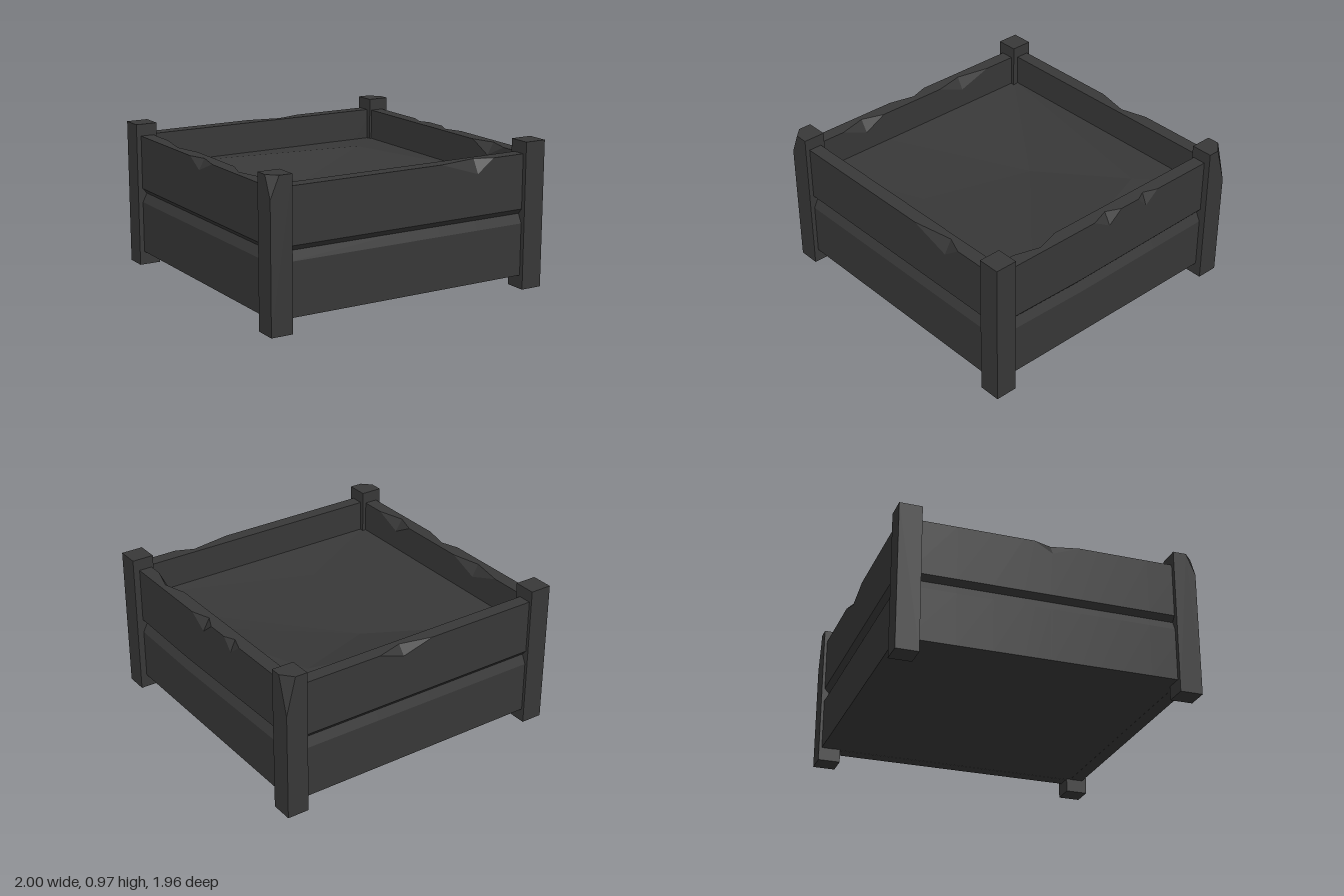
import * as THREE from 'three';
import { ConvexGeometry } from 'three/addons/geometries/ConvexGeometry.js';

const TOP = 0.89, BOTTOM = 0.09, THICK = 0.09;

// Flat-shaded geometry from a list of corner triples, skipping empty triangles
function facets(tris) {
  const pos = [];
  for (const [a, b, c] of tris) {
    const area = b.clone().sub(a).cross(c.clone().sub(a)).length();
    if (area > 1e-7) for (const p of [a, b, c]) pos.push(p.x, p.y, p.z);
  }
  const geo = new THREE.BufferGeometry();
  geo.setAttribute('position', new THREE.Float32BufferAttribute(pos, 3));
  geo.computeVertexNormals();
  return geo;
}

// Grooved wall along x with its outer face on z = 0.
// Each chip is [start, middle, end, drop, inset] on the outer or inner top edge.
function wallGeometry({ outer = [], inner = [], sag = 0, sagAt = 0 }) {
  const chips = [...outer, ...inner];
  const stations = [...new Set([-0.9, 0.9, sagAt, ...chips.flatMap(c => c.slice(0, 3))])].sort((a, b) => a - b);
  const chipAt = (list, u) => list.find(c => c[1] === u) ?? [0, 0, 0, 0, 0];
  // Stations inside a chip but not at its middle follow its straight edges
  const cut = (list, u) => {
    const c = list.find(k => u > k[0] && u < k[2]);
    if (!c) return [0, 0];
    const f = u <= c[1] ? (u - c[0]) / (c[1] - c[0]) : (c[2] - u) / (c[2] - c[1]);
    const full = chipAt(list, c[1]);
    return [full[3] * f, full[4] * f];
  };
  const rings = stations.map(u => {
    const [od, oi] = cut(outer, u), [id, ii] = cut(inner, u);
    const s = sag * (1 - Math.abs(u - sagAt) / (0.9 + Math.abs(sagAt)));
    return [
      [0, BOTTOM], [0, 0.435 - s], [-0.03, 0.495 - s], [0, 0.53 - s],
      [0, TOP - od], [-oi, TOP], [ii - THICK, TOP], [-THICK, TOP - id], [-THICK, BOTTOM],
    ].map(([z, y]) => new THREE.Vector3(u, y, z));
  });
  const tris = [];
  for (let i = 0; i + 1 < rings.length; i++) {
    const r = rings[i], q = rings[i + 1];
    for (let k = 0; k < r.length; k++) {
      const n = (k + 1) % r.length;
      tris.push([r[k], q[k], q[n]], [r[k], q[n], r[n]]);
    }
  }
  return facets(tris);
}

// Square post with its outer top corner optionally broken off
function postGeometry(sx, sz, chip) {
  const x0 = 0.853 * sx, x1 = sx, z0 = 0.832 * sz, z1 = 0.98 * sz, h = 0.97;
  const pts = [];
  for (const x of [x0, x1]) for (const z of [z0, z1]) for (const y of [0, h]) {
    if (chip && x === x1 && z === z1 && y === h) {
      pts.push(new THREE.Vector3(x - chip.x * sx, y, z), new THREE.Vector3(x, y, z - chip.z * sz),
        new THREE.Vector3(x, y - chip.y, z));
    } else pts.push(new THREE.Vector3(x, y, z));
  }
  return new ConvexGeometry(pts);
}

// Uneven filling inside the walls
function fillGeometry() {
  const p = [
    [-0.89, 0.68, -0.87], [0.88, 0.68, -0.87], [0.88, 0.68, 0.87], [-0.89, 0.68, 0.87], // corners
    [-0.05, 0.59, -0.25], [0.58, 0.70, -0.57], [0.88, 0.68, 0.3], [-0.89, 0.68, 0.3],
    [-0.22, 0.64, 0.53], [0.8, 0.66, 0.52],
  ].map(a => new THREE.Vector3(...a));
  const faces = [[0, 5, 4], [0, 1, 5], [5, 1, 6], [5, 6, 4], [4, 6, 9], [4, 9, 8], [4, 8, 7],
    [0, 4, 7], [7, 8, 3], [8, 9, 2], [3, 8, 2], [9, 6, 2]];
  return facets(faces.map(([a, b, c]) => {
    const up = p[b].clone().sub(p[a]).cross(p[c].clone().sub(p[a])).y > 0;
    return up ? [p[a], p[b], p[c]] : [p[a], p[c], p[b]];
  }));
}

export function createModel() {
  const model = new THREE.Group();
  model.name = 'planterBox';
  const charcoal = new THREE.MeshStandardMaterial({ color: 0x383838 });
  charcoal.name = 'charcoal';

  const add = (name, geo) => {
    const mesh = new THREE.Mesh(geo, charcoal);
    mesh.name = name;
    model.add(mesh);
    return mesh;
  };

  // Walls: turn about y and distance of the outer face
  const walls = [
    ['frontWall', 0, 0.95, { outer: [[0.22, 0.5, 0.62, 0.09, 0.05]], sag: 0 }],
    ['backWall', Math.PI, 0.96, { outer: [[-0.32, -0.14, 0.08, 0.06, 0.05]] }],
    ['leftWall', Math.PI / 2, 0.957, {
      outer: [[-0.15, -0.02, 0.08, 0.08, 0.045], [0.23, 0.3, 0.4, 0.08, 0.035]],
      inner: [[-0.73, -0.56, -0.4, 0.08, 0.05]], sag: 0.02, sagAt: -0.25,
    }],
    ['rightWall', -Math.PI / 2, 0.968, {
      outer: [[-0.1, 0.02, 0.2, 0.07, 0.04]],
      inner: [[-0.6, -0.37, -0.17, 0.08, 0.045], [0.32, 0.47, 0.66, 0.08, 0.05]],
    }],
  ];
  for (const [name, turn, dist, options] of walls) {
    add(name, wallGeometry(options).translate(0, 0, dist).rotateY(turn));
  }

  // Corner posts, two of them chipped
  add('frontLeftPost', postGeometry(1, 1));
  add('frontRightPost', postGeometry(-1, 1, { x: 0.06, y: 0.14, z: 0.06 }));
  add('backLeftPost', postGeometry(1, -1, { x: 0.065, y: 0.25, z: 0.075 }));
  add('backRightPost', postGeometry(-1, -1));

  // Filling and floor
  add('filling', fillGeometry());
  add('floor', new THREE.BoxGeometry(1.8, 0.04, 1.78).translate(0, BOTTOM + 0.021, 0));

  return model;
}
